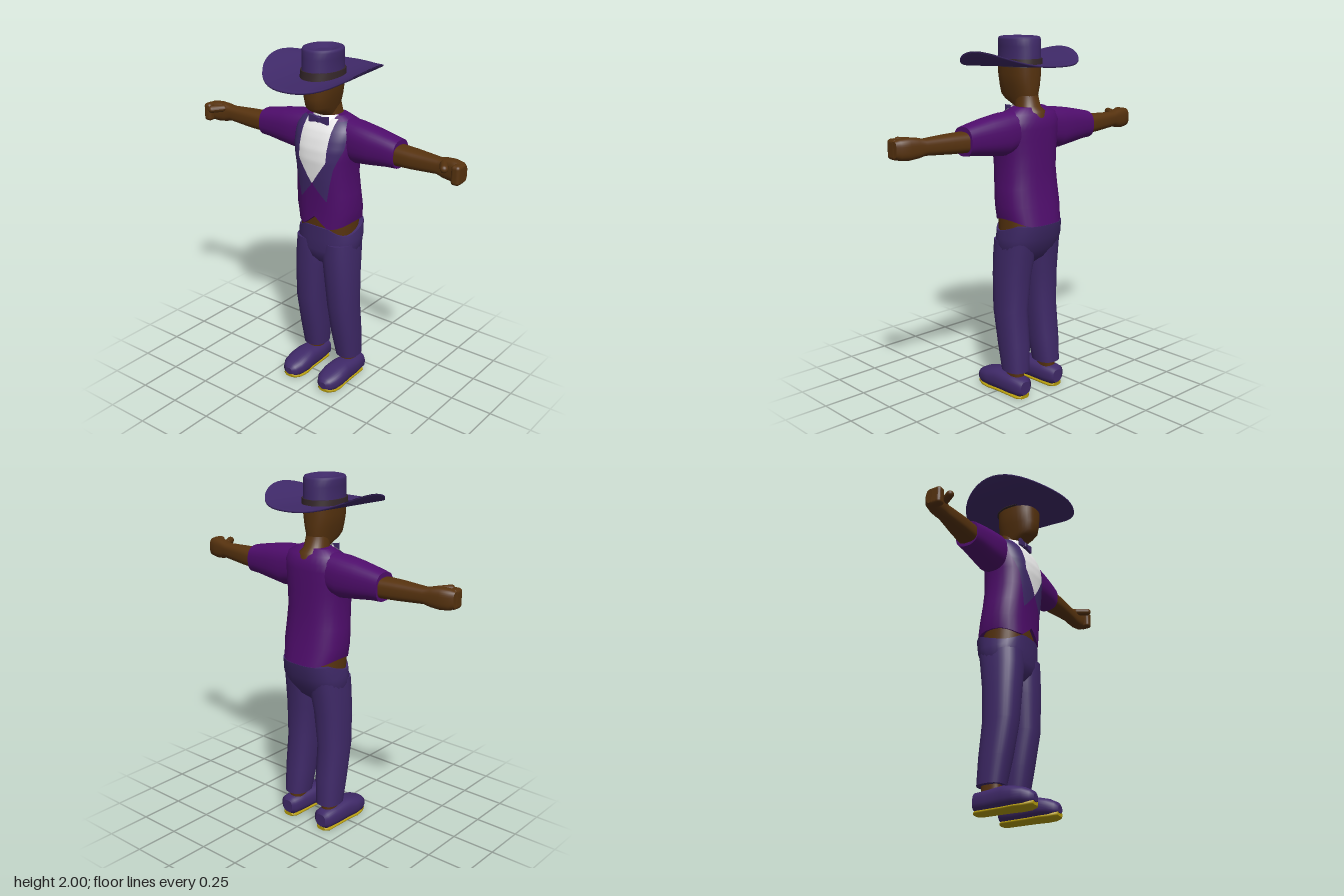
import * as THREE from 'three';
import { RoundedBoxGeometry } from 'three/addons/geometries/RoundedBoxGeometry.js';

const mat = (name, color, side = THREE.FrontSide) => {
  const m = new THREE.MeshStandardMaterial({ color, side });
  m.name = name;
  return m;
};

const SEG = 32;

// Superellipse outline as [u, v] pairs in -1..1
function outline(n = 2.5, seg = SEG) {
  return Array.from({ length: seg }, (_, j) => {
    const t = (j / seg) * Math.PI * 2;
    const f = (v) => Math.sign(v) * Math.pow(Math.abs(v), 2 / n);
    return [f(Math.cos(t)), f(Math.sin(t))];
  });
}

// Skin through a list of equal-length rings, with separate flat end caps
function loft(rings, capped = true) {
  const n = rings[0].length, pos = rings.flat(2), idx = [];
  for (let i = 0; i < rings.length - 1; i++) {
    for (let j = 0; j < n; j++) {
      const a = i * n + j, c = i * n + ((j + 1) % n);
      idx.push(a, a + n, c, a + n, c + n, c);
    }
  }
  const cap = (ring, flip) => {
    const base = pos.length / 3;
    pos.push(...ring.flat());
    for (let k = 0; k < 3; k++) pos.push(ring.reduce((s, p) => s + p[k], 0) / n);
    for (let j = 0; j < n; j++) {
      const a = base + j, b = base + ((j + 1) % n);
      idx.push(...(flip ? [base + n, b, a] : [base + n, a, b]));
    }
  };
  if (capped) {
    cap(rings[0], false);
    cap(rings[rings.length - 1], true);
  }
  return build(pos, idx);
}

function build(pos, idx) {
  const g = new THREE.BufferGeometry();
  g.setAttribute('position', new THREE.Float32BufferAttribute(pos, 3));
  g.setIndex(idx);
  g.computeVertexNormals();
  return g;
}

// Upright sections: [y, half width, front z, back z, centre x]
const ringY = ([y, rx, zf, zb, cx = 0], n) =>
  outline(n).map(([u, v]) => [cx + rx * u, y, (zf + zb) / 2 + ((zf - zb) / 2) * v]);
// Sideways sections: [x, low y, high y, back z, front z]
const ringX = ([x, y0, y1, z0, z1], n) =>
  outline(n).map(([u, v]) => [x, (y0 + y1) / 2 + ((y1 - y0) / 2) * u, (z0 + z1) / 2 - ((z1 - z0) / 2) * v]);
// Lengthways sections: [z, half width, low y, high y]
const ringZ = ([z, w, y0, y1], cx, n) =>
  outline(n).map(([u, v]) => [cx + w * u, (y0 + y1) / 2 - ((y1 - y0) / 2) * v, z]);

const loftY = (s, n = 2.5) => loft(s.map((r) => ringY(r, n)));
const loftX = (s, n = 2.5) => loft(s.map((r) => ringX(r, n)));
const loftZ = (s, cx, n = 2.5) => loft(s.map((r) => ringZ(r, cx, n)));

function mirror(geo) {
  const g = geo.clone().scale(-1, 1, 1);
  if (!g.index) g.setIndex([...Array(g.attributes.position.count).keys()]);
  const a = g.index.array;
  for (let i = 0; i < a.length; i += 3) [a[i + 1], a[i + 2]] = [a[i + 2], a[i + 1]];
  g.computeVertexNormals();
  return g;
}

// Linear interpolation in rows sorted by their first number
function sample(rows, y) {
  let i = 0;
  while (i < rows.length - 2 && y > rows[i + 1][0]) i++;
  const a = rows[i], b = rows[i + 1], k = (y - a[0]) / (b[0] - a[0]);
  return a.map((v, j) => v + (b[j] - v) * k);
}

const JACKET = [
  [0.995, 0.172, 0.078, -0.232], [1.1, 0.185, 0.078, -0.212], [1.2, 0.18, 0.085, -0.197],
  [1.3, 0.172, 0.095, -0.19], [1.4, 0.178, 0.1, -0.19], [1.46, 0.187, 0.093, -0.19],
  [1.52, 0.19, 0.073, -0.19], [1.56, 0.187, 0.053, -0.187], [1.6, 0.165, 0.02, -0.17],
  [1.632, 0.1, -0.012, -0.135],
];

// Thin cloth panel laid on the jacket front; rows are [y, left x, right x]
function panel(rows, lift) {
  const pos = [], idx = [], H = 30, W = 12;
  const y0 = rows[0][0], y1 = rows[rows.length - 1][0];
  for (let i = 0; i <= H; i++) {
    const y = y0 + ((y1 - y0) * i) / H;
    const [, xl, xr] = sample(rows, y), [, rx, zf, zb] = sample(JACKET, y);
    for (let j = 0; j <= W; j++) {
      const x = xl + ((xr - xl) * j) / W, q = Math.min(Math.abs(x) / rx, 0.98);
      pos.push(x, y, (zf + zb) / 2 + ((zf - zb) / 2) * Math.pow(1 - q ** 2.5, 0.4) + lift);
      if (i < H && j < W) {
        const a = i * (W + 1) + j, c = a + W + 1;
        idx.push(a, a + 1, c, a + 1, c + 1, c);
      }
    }
  }
  return build(pos, idx);
}

export function createModel() {
  const root = new THREE.Group();
  root.name = 'figure';
  const skin = mat('skin', 0x57330f), purple = mat('jacketPurple', 0x4f0d6c);
  const indigo = mat('indigoCloth', 0x3f2968), trim = mat('lapelIndigo', 0x3f2968, THREE.DoubleSide);
  const white = mat('shirtWhite', 0xededed, THREE.DoubleSide);
  const yellow = mat('soleYellow', 0xb59c0c), dark = mat('hatBandBrown', 0x35272a);
  const add = (name, geo, m) => {
    const mesh = new THREE.Mesh(geo, m);
    mesh.name = name;
    root.add(mesh);
  };
  const pair = (name, geo, m) => {
    add('left' + name, geo, m);
    add('right' + name, mirror(geo), m);
  };

  // Head, neck and bare waist
  add('head', loftY([[1.635, 0.05, 0.02, -0.11], [1.665, 0.06, 0.085, -0.117], [1.69, 0.067, 0.112, -0.122],
    [1.74, 0.081, 0.117, -0.126], [1.8, 0.093, 0.119, -0.127], [1.87, 0.095, 0.117, -0.127]]), skin);
  add('neck', loftY([[1.56, 0.08, 0, -0.184], [1.61, 0.075, 0, -0.172], [1.635, 0.064, 0.005, -0.138],
    [1.69, 0.06, 0.01, -0.122]], 2.2), skin);
  add('waist', loftY([[0.9, 0.165, 0.06, -0.2], [1.1, 0.165, 0.064, -0.19]]), skin);

  // Jacket body, with a notched and raised hem
  const body = JACKET.map((r) => ringY(r, 2.5));
  body[0].forEach((p) => {
    p[1] += 0.035 * (p[0] / 0.172) ** 4;
    if (p[2] > 0) p[1] += Math.max(0, 0.07 * (1 - Math.abs(p[0]) / 0.085));
  });
  add('jacket', loft(body), purple);
  pair('Sleeve', loftX([[0.08, 1.42, 1.62, -0.16, 0], [0.2, 1.385, 1.612, -0.165, 0.025],
    [0.3, 1.397, 1.597, -0.156, 0.02], [0.4, 1.41, 1.577, -0.146, 0.012], [0.455, 1.412, 1.565, -0.14, 0.005]]), purple);

  // Shirt front, lapels, collar and bow tie
  add('shirtFront', panel([[1.265, 0, 0], [1.4, -0.09, 0.09], [1.62, -0.095, 0.095]], 0.007), white);
  pair('Lapel', panel([[1.17, 0.083, 0.087], [1.265, 0, 0.105], [1.36, 0.063, 0.125], [1.4, 0.09, 0.14],
    [1.47, 0.09, 0.168], [1.56, 0.093, 0.172], [1.61, 0.095, 0.14]], 0.006), trim);
  add('collar', new THREE.CylinderGeometry(0.08, 0.1, 0.04, 24, 1, true, -1.25, 2.5).translate(0, 1.617, -0.06), white);
  const bow = new THREE.Shape([[-0.062, -0.022], [0, -0.011], [0.062, -0.022], [0.062, 0.022], [0, 0.011],
    [-0.062, 0.022]].map(([x, y]) => new THREE.Vector2(x, y)));
  add('bowTie', new THREE.ExtrudeGeometry(bow, { depth: 0.018, bevelEnabled: false }).translate(0, 1.613, 0.027), indigo);
  add('bowKnot', new RoundedBoxGeometry(0.026, 0.032, 0.026, 2, 0.006).translate(0, 1.613, 0.037), indigo);

  // Arms and half-closed hands
  pair('Arm', loftX([[0.43, 1.43, 1.54, -0.13, 0], [0.55, 1.435, 1.537, -0.115, 0], [0.7, 1.445, 1.53, -0.09, -0.012],
    [0.74, 1.435, 1.54, -0.085, -0.005], [0.79, 1.43, 1.545, -0.08, 0], [0.84, 1.435, 1.54, -0.07, 0.01],
    [0.86, 1.447, 1.53, -0.05, 0]], 2.8), skin);
  pair('Fingers', new RoundedBoxGeometry(0.05, 0.104, 0.07, 3, 0.018).translate(0.836, 1.487, 0), skin);
  pair('Thumb', new THREE.CapsuleGeometry(0.021, 0.07, 6, 12).rotateX(Math.PI / 2).rotateY(0.55)
    .translate(0.765, 1.517, 0.015), skin);

  // Trousers, with a waistline dipping at the sides
  const hips = [[0.76, 0.09, 0.02, -0.11], [0.8, 0.15, 0.052, -0.16], [0.85, 0.187, 0.064, -0.188],
    [0.92, 0.187, 0.068, -0.22], [1.0, 0.18, 0.072, -0.234]].map((r) => ringY(r, 2.5));
  hips[4].forEach((p, j) => {
    const t = (j / SEG) * Math.PI * 2, a = Math.atan2(Math.sin(t), Math.abs(Math.cos(t)));
    p[1] -= 0.045 * Math.max(0, Math.cos(2 * (a - 0.44)));
  });
  add('trouserSeat', loft(hips), indigo);
  pair('TrouserLeg', loftY([[0.15, 0.069, -0.02, -0.178, 0.119], [0.3, 0.08, 0.012, -0.17, 0.114],
    [0.5, 0.084, 0.05, -0.15, 0.112], [0.7, 0.094, 0.06, -0.16, 0.101], [0.82, 0.099, 0.064, -0.178, 0.091],
    [0.9, 0.094, 0.062, -0.19, 0.09]], 2.4), indigo);

  // Ankles and slippers
  pair('Ankle', loftY([[0.07, 0.038, -0.04, -0.155, 0.122], [0.2, 0.038, -0.04, -0.155, 0.122]]), skin);
  pair('Shoe', loftZ([[-0.19, 0.035, 0.025, 0.1], [-0.175, 0.056, 0.012, 0.12], [-0.1, 0.064, 0.008, 0.125],
    [0, 0.07, 0.008, 0.135], [0.06, 0.076, 0.008, 0.124], [0.12, 0.069, 0.01, 0.108], [0.155, 0.048, 0.015, 0.09],
    [0.17, 0.022, 0.03, 0.07]], 0.128), indigo);
  pair('Sole', loftZ([[-0.185, 0.03, 0, 0.02], [-0.165, 0.05, 0, 0.02], [0, 0.055, 0, 0.02], [0.07, 0.064, 0, 0.02],
    [0.12, 0.058, 0, 0.022], [0.155, 0.044, 0.005, 0.032], [0.168, 0.026, 0.012, 0.036]], 0.128, 3), yellow);

  // Hat: curled brim, band and dented crown
  const brimRing = (r, lift) => outline(2, 48).map(([u, v]) => {
    const x = 0.31 * r * u, z = 0.328 * r * v;
    return [x, 1.84 + 0.085 * Math.abs(x / 0.31) ** 3 - 0.045 * z + lift, z];
  });
  const radii = [0.25, 0.45, 0.6, 0.75, 0.88, 1];
  add('hatBrim', loft([...radii.map((r) => brimRing(r, 0)), ...radii.reverse().map((r) => brimRing(r, 0.009))], false), indigo);
  add('hatBand', loftY([[1.842, 0.111, 0.136, -0.14], [1.885, 0.108, 0.132, -0.137]], 2.1), dark);
  add('hatCrown', loftY([[1.845, 0.104, 0.128, -0.133], [1.9, 0.1, 0.126, -0.131], [1.95, 0.103, 0.121, -0.127],
    [1.985, 0.108, 0.117, -0.122], [1.997, 0.103, 0.11, -0.116], [2.0, 0.09, 0.098, -0.104],
    [1.992, 0.07, 0.078, -0.084], [1.98, 0.04, 0.05, -0.056]], 2.1), indigo);

  return root;
}
